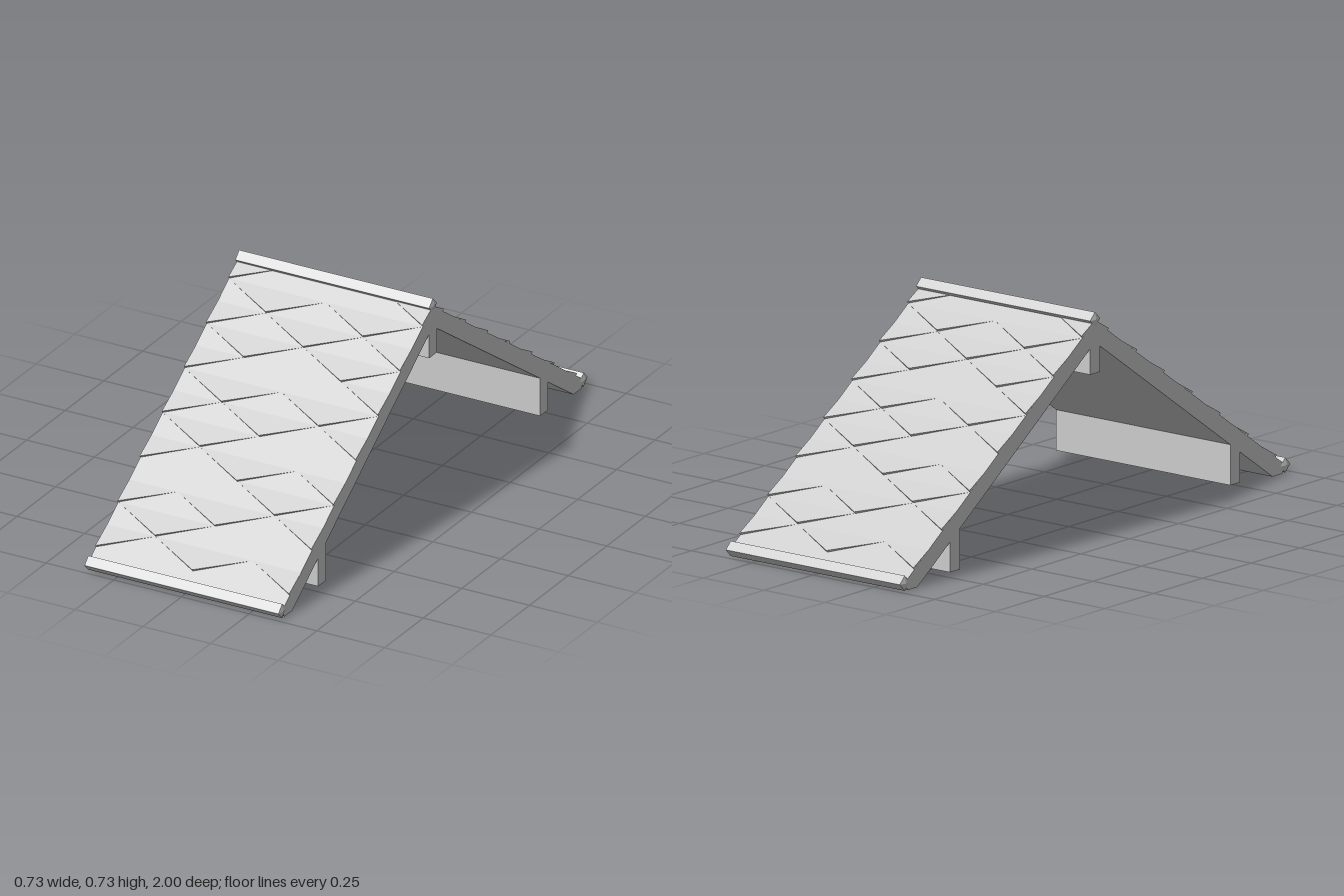
import * as THREE from 'three';

const HALF = 0.358;      // half width of the roof
const RIDGE = 0.70;      // height of the slope plane at the ridge
const PITCH = 0.69;      // drop per unit of z
const LIP = 0.008;       // how far a shingle tip stands proud

const material = new THREE.MeshStandardMaterial({ color: 0xcccccc, flatShading: true });

function add(parent, name, geometry, x = 0, y = 0, z = 0) {
  const mesh = new THREE.Mesh(geometry, material);
  mesh.name = name;
  mesh.position.set(x, y, z);
  parent.add(mesh);
  return mesh;
}

// Both slopes as one cross-section, extruded across the width
function slabGeometry() {
  const half = [[0.975, 0.027], [0.96, 0], [0.91, 0]];
  const outline = [
    [0, RIDGE], ...half, [0, 0.628],
    ...half.slice().reverse().map(([z, y]) => [-z, y]),
  ];
  const shape = new THREE.Shape(outline.map(([z, y]) => new THREE.Vector2(z, y)));
  const geometry = new THREE.ExtrudeGeometry(shape, { depth: 2 * HALF, bevelEnabled: false });
  return geometry.translate(0, 0, -HALF).rotateY(Math.PI / 2);
}

// Square bar set on edge, with shallow pyramid ends
function trimGeometry() {
  const profile = [[0, -0.364], [0.025, -HALF], [0.025, HALF], [0, 0.364]];
  return new THREE.LatheGeometry(profile.map(([r, y]) => new THREE.Vector2(r, y)), 4)
    .rotateZ(Math.PI / 2);
}

// Point on the front slope at height y, raised by n along the normal
function onSlope(x, y, n = 0) {
  return [x, y + n * 0.823, (RIDGE - y) / PITCH + n * 0.568];
}

// Exposed lower half of diamond shingles: flush at the sides, raised at the tip
function shingleGeometry() {
  const step = HALF / 2;
  const rows = [ // tip height and tip columns
    [0.655, [-2, 2]], [0.605, [-1, 1]], [0.555, [-2, 0, 2]], [0.506, [-1, 1]],
    [0.457, [-2, 2]], [0.407, [-1, 1]], [0.358, [-2, 0, 2]], [0.309, [-1]],
    [0.259, [-2, 0, 2]], [0.210, [1]], [0.160, [-2, 0, 2]], [0.111, [-1]],
    [0.061, [-2, 0, 2]],
  ];
  const positions = [];
  for (const [y, columns] of rows) {
    for (const c of columns) {
      const left = onSlope(Math.max(c - 1, -2) * step, y + 0.0495);
      const right = onSlope(Math.min(c + 1, 2) * step, y + 0.0495);
      const base = onSlope(c * step, y);
      const tip = onSlope(c * step, y, LIP);
      positions.push(...left, ...tip, ...right);
      positions.push(...left, ...base, ...tip);
      positions.push(...base, ...right, ...tip);
    }
  }
  const geometry = new THREE.BufferGeometry();
  geometry.setAttribute('position', new THREE.Float32BufferAttribute(positions, 3));
  geometry.computeVertexNormals();
  return geometry;
}

export function createModel() {
  const roof = new THREE.Group();
  roof.name = 'roof';

  add(roof, 'roofSlab', slabGeometry());

  // Ridge
  add(roof, 'ridgeTrim', trimGeometry(), 0, 0.703, 0);
  add(roof, 'ridgeBeam', new THREE.BoxGeometry(2 * HALF, 0.135, 0.05), 0, 0.5925, 0);

  // Each slope is the other turned half way round
  const shingles = shingleGeometry();
  ['front', 'back'].forEach((side, i) => {
    const slope = new THREE.Group();
    slope.name = side + 'Slope';
    slope.rotation.y = i * Math.PI;
    add(slope, side + 'Shingles', shingles);
    add(slope, side + 'EaveTrim', trimGeometry(), 0, 0.0255, 0.975);
    add(slope, side + 'Beam', new THREE.BoxGeometry(2 * HALF, 0.145, 0.05), 0, 0.0875, 0.718);
    roof.add(slope);
  });

  return roof;
}
